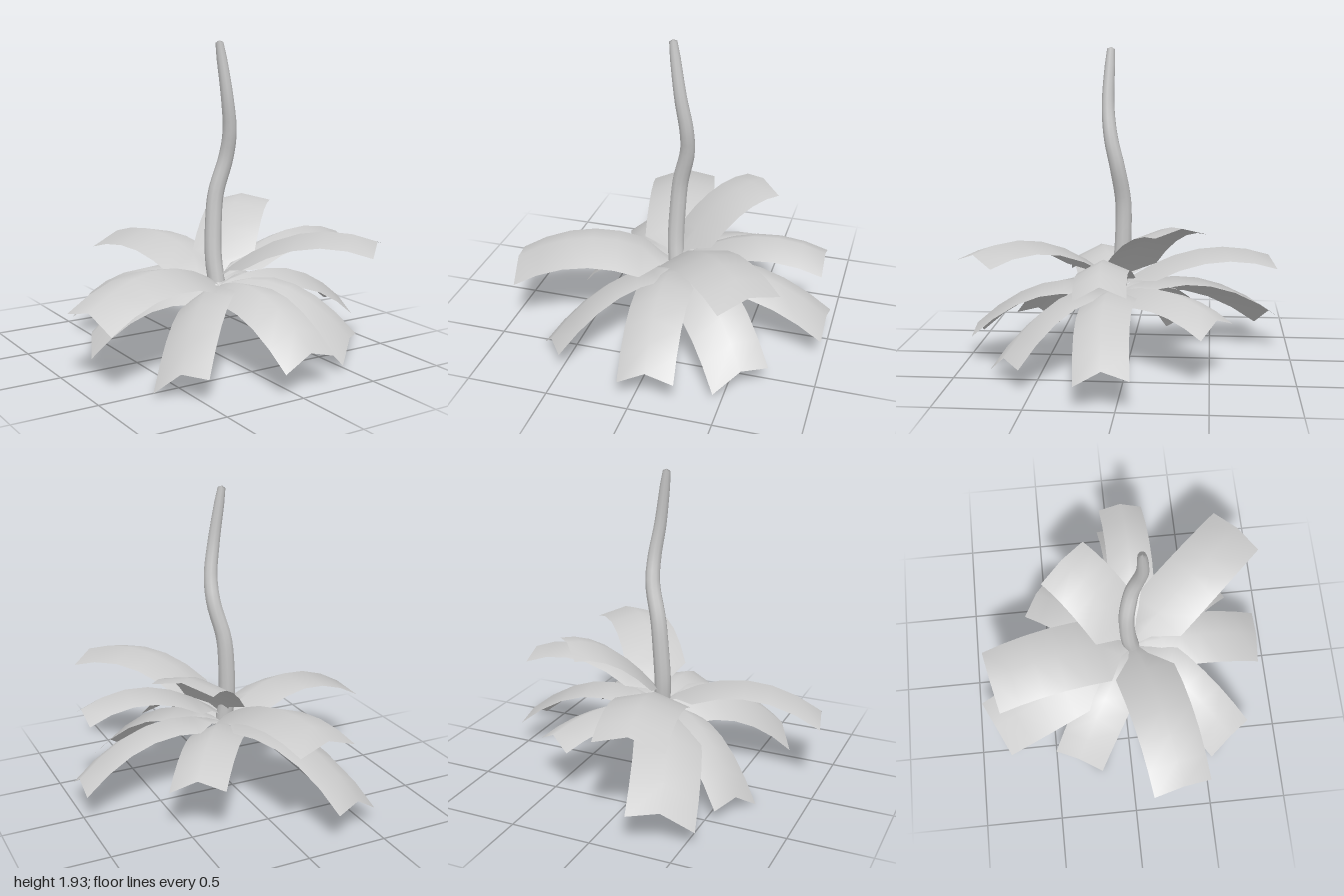
import * as THREE from 'three';

const V = (x, y, z) => new THREE.Vector3(x, y, z);

// Two tip corners of each leaf, then root height, arch height, midrib height and sideways bend
const LEAVES = [
  // lower whorl
  [[-0.08, 0.13, 0.945], [0.26, 0.18, 0.945], 0.42, 0.16, 0.07, -0.1],
  [[0.45, 0.04, 0.79], [0.73, 0.13, 0.57], 0.42, 0.165, 0.07, 0],
  [[0.985, 0.13, 0.23], [0.995, 0.17, -0.08], 0.42, 0.165, 0.07, -0.22],
  [[0.62, 0.29, -0.45], [0.34, 0.32, -0.63], 0.42, 0.09, 0.07, 0],
  [[-0.21, 0.2, -0.97], [-0.56, 0.09, -0.8], 0.42, 0.165, 0.07, 0.22],
  [[-0.56, 0.07, -0.5], [-0.71, 0.0, -0.2], 0.42, 0.16, 0.07, 0.05],
  [[-0.69, 0.02, 0.55], [-0.49, 0.14, 0.81], 0.42, 0.155, 0.07, 0],
  // upper whorl
  [[0.51, 0.71, 0.96], [0.8, 0.72, 0.7], 0.48, 0.16, 0.055, -0.15],
  [[0.96, 0.59, 0.23], [0.95, 0.61, -0.06], 0.47, 0.155, 0.07, -0.2],
  [[0.61, 0.87, -0.19], [0.35, 0.85, -0.48], 0.49, 0.115, 0.045, 0],
  [[0.02, 0.58, -0.91], [-0.39, 0.55, -0.82], 0.46, 0.13, 0.065, 0],
  [[-1.0, 0.41, 0.11], [-0.91, 0.36, 0.49], 0.44, 0.17, 0.07, 0.1],
];

// Position along the leaf and relative width; the pointed root passes under the crown
const ROWS = [
  [-0.13, 0.02], [0, 0.1], [0.1, 0.35], [0.22, 1.04], [0.37, 1.04],
  [0.53, 1.03], [0.69, 1.02], [0.85, 1.01], [1, 1],
];

// Arched strip with a raised midrib
function leafGeometry([a, b, rootY, arch, rib, bend]) {
  const c1 = V(...a), c2 = V(...b);
  const half = c2.clone().sub(c1).multiplyScalar(0.5);
  const tip = c1.clone().add(c2).multiplyScalar(0.5);
  tip.y += rib;
  const root = V(0.03, rootY, 0.075);
  const control = root.clone().lerp(tip, 0.5).addScaledVector(half, 2 * bend);
  control.y += 2 * arch;
  const midline = new THREE.QuadraticBezierCurve3(root, control, tip);
  const pos = [], index = [];
  ROWS.forEach(([t, w], i) => {
    const m = midline.getPoint(t);
    for (const s of [-1, 0, 1]) {
      const p = m.clone().addScaledVector(half, s * w);
      p.y -= Math.abs(s) * rib * w;
      pos.push(p.x, p.y, p.z);
    }
    if (!i) return;
    for (let j = 0; j < 2; j++) {
      const q = (i - 1) * 3 + j;
      index.push(q, q + 3, q + 1, q + 1, q + 3, q + 4);
    }
  });
  const g = new THREE.BufferGeometry();
  g.setAttribute('position', new THREE.Float32BufferAttribute(pos, 3));
  g.setIndex(index);
  g.computeVertexNormals();
  return g;
}

// Winding tube that narrows to a rounded tip
function stemGeometry() {
  const path = new THREE.CatmullRomCurve3([
    V(0.025, 0.45, 0.07), V(0.015, 0.6, 0.05), V(0.022, 0.8, 0.037), V(0.04, 1.0, 0.037),
    V(0.092, 1.22, 0.07), V(0.095, 1.38, 0.105), V(0.065, 1.58, 0.125), V(0.015, 1.925, 0.11),
  ]);
  const n = 28, sides = 10;
  const g = new THREE.TubeGeometry(path, n, 1, sides);
  const p = g.attributes.position, v = V(0, 0, 0);
  for (let i = 0; i <= n; i++) {
    const t = i / n, c = path.getPointAt(t);
    const r = i === n ? 0.002 : i === n - 1 ? 0.024 : 0.053 - 0.025 * t * t;
    // the last rings sit close together to round off the tip
    const shift = i === n - 1 ? path.getPointAt(0.992).sub(c) : V(0, 0, 0);
    for (let j = 0; j <= sides; j++) {
      const k = i * (sides + 1) + j;
      v.fromBufferAttribute(p, k).sub(c).multiplyScalar(r).add(c).add(shift);
      p.setXYZ(k, v.x, v.y, v.z);
    }
  }
  return g;
}

export function createModel() {
  const model = new THREE.Group();
  model.name = 'plant';
  const grey = new THREE.MeshStandardMaterial({ color: 0xcccccc, side: THREE.DoubleSide });
  grey.name = 'light grey';

  const leaves = new THREE.Group();
  leaves.name = 'leaves';
  LEAVES.forEach((spec, i) => {
    const leaf = new THREE.Mesh(leafGeometry(spec), grey);
    leaf.name = i < 7 ? 'lowerLeaf' : 'upperLeaf';
    leaves.add(leaf);
  });

  const stem = new THREE.Mesh(stemGeometry(), grey);
  stem.name = 'stem';
  model.add(leaves, stem);
  return model;
}
